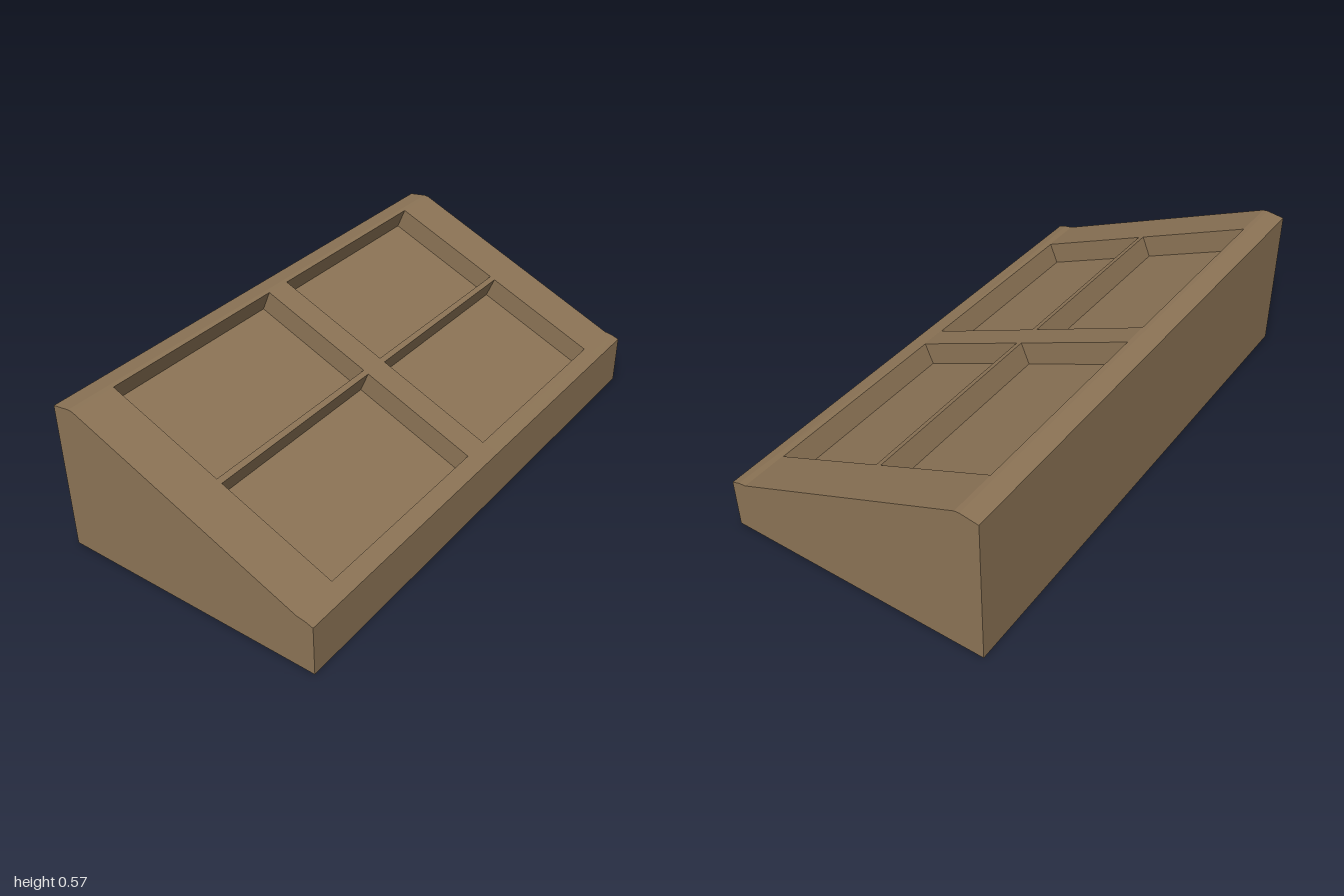
import * as THREE from 'three';

const SLOPE = 0.42;          // rise of the sloping face per unit of depth
const DEPTH = 0.086;         // recess depth, square to the slope
const POCKETS = [[0.445, 0.02], [0, -0.425]]; // front and back z of each recess row
const X_IN = 0.05, X_OUT = 0.825;

// points are [z, y]
const onSlope = z => [z, 0.204 + (0.45 - z) * SLOPE];
const len = Math.hypot(1, SLOPE);
const sink = ([z, y]) => [z - DEPTH * SLOPE / len, y - DEPTH / len];

// closed side outline at a given x; the front lip flattens out toward the ends
function outline(x, recessed) {
  const t = THREE.MathUtils.clamp((Math.abs(x) - 0.05) / 0.95, 0.02, 1);
  const pts = [[0.51, 0], [0.51, 0.19], [0.45 + 0.03 * t, 0.204 - 0.004 * t], [0.45, 0.204]];
  for (const [front, back] of POCKETS) {
    const a = onSlope(front), b = onSlope(back);
    pts.push(a, recessed ? sink(a) : a, recessed ? sink(b) : b, b);
  }
  pts.push([-0.443, 0.573], [-0.51, 0.563], [-0.51, 0]);
  return pts.filter((p, i) => i === 0 || p !== pts[i - 1]);
}

// flat-shaded geometry from a list of four-cornered faces
function facesGeometry(quads) {
  const pos = [];
  for (const [a, b, c, d] of quads) pos.push(...a, ...b, ...c, ...a, ...c, ...d);
  const g = new THREE.BufferGeometry();
  g.setAttribute('position', new THREE.Float32BufferAttribute(pos, 3));
  g.computeVertexNormals();
  return g;
}

const at = (x, [z, y]) => [x, y, z];

export function createModel() {
  const group = new THREE.Group();
  const brown = new THREE.MeshStandardMaterial({ color: 0x8b7355 });
  brown.name = 'brown';
  const add = (name, geometry) => {
    const mesh = new THREE.Mesh(geometry, brown);
    mesh.name = name;
    group.add(mesh);
  };

  // wedge body: plain and recessed slices across the width
  const stations = [-1, -X_OUT, -X_IN, X_IN, X_OUT, 1];
  const quads = [];
  for (let s = 0; s < stations.length - 1; s++) {
    const x0 = stations[s], x1 = stations[s + 1], recessed = s % 2 === 1;
    const p0 = outline(x0, recessed), p1 = outline(x1, recessed);
    p0.forEach((p, i) => {
      const j = (i + 1) % p0.length;
      quads.push([at(x0, p), at(x1, p1[i]), at(x1, p1[j]), at(x0, p0[j])]);
    });
  }
  add('wedgeBody', facesGeometry(quads));

  // side walls of the four recesses
  const walls = [];
  for (const [x0, x1] of [[-X_OUT, -X_IN], [X_IN, X_OUT]]) {
    for (const [front, back] of POCKETS) {
      const a = onSlope(front), b = onSlope(back);
      const ring = [sink(a), sink(b), b, a];
      walls.push(ring.map(p => at(x0, p)), ring.map(p => at(x1, p)).reverse());
    }
  }
  add('recessWalls', facesGeometry(walls));

  // flat ends
  for (const side of [-1, 1]) {
    const shape = new THREE.Shape(outline(side, false).map(([z, y]) => new THREE.Vector2(-side * z, y)));
    const end = new THREE.ShapeGeometry(shape);
    end.rotateY(side * Math.PI / 2);
    end.translate(side, 0, 0);
    add(side > 0 ? 'leftEnd' : 'rightEnd', end);
  }
  return group;
}
